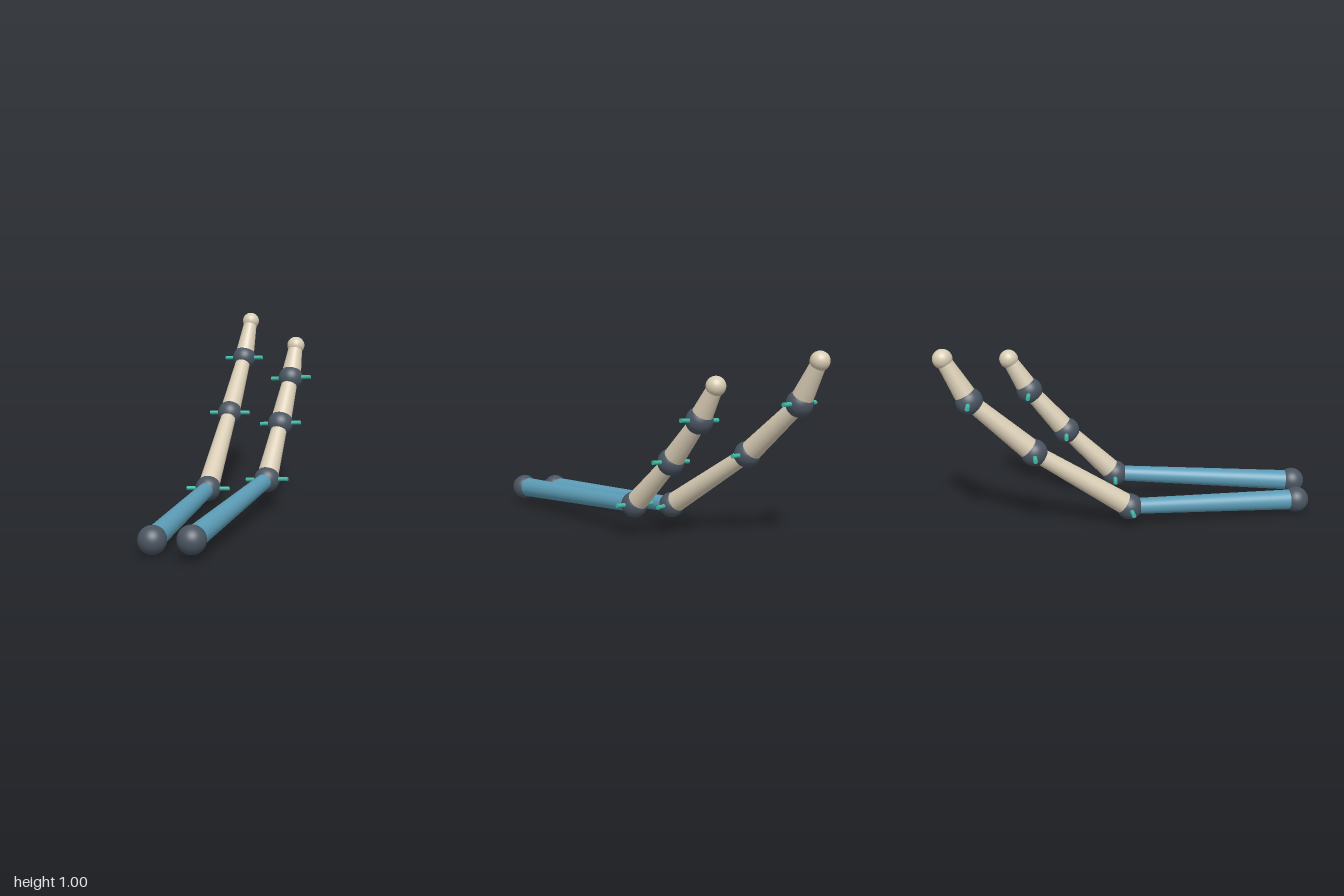
import * as THREE from 'three';

const mat = (name, color) => {
  const m = new THREE.MeshStandardMaterial({ color });
  m.name = name;
  return m;
};

export function createModel() {
  const bone = mat('bone cream', 0xd8ccb4);
  const slate = mat('joint slate', 0x4a5561);
  const blue = mat('base blue', 0x5b9bb5);
  const teal = mat('pin teal', 0x3fb8a5);
  const up = new THREE.Vector3(0, 1, 0);

  const add = (group, name, geometry, material, position) => {
    const mesh = new THREE.Mesh(geometry, material);
    mesh.name = name;
    mesh.position.copy(position);
    group.add(mesh);
    return mesh;
  };

  // Tapered rod running from a to b
  const rod = (group, name, a, b, r0, r1, material) => {
    const d = b.clone().sub(a);
    const mid = a.clone().lerp(b, 0.5);
    const mesh = add(group, name, new THREE.CylinderGeometry(r1, r0, d.length(), 40), material, mid);
    mesh.quaternion.setFromUnitVectors(up, d.normalize());
  };

  // Joint centres from base to tip, and hinge axes for the three inner joints
  const fingers = [
    {
      name: 'longFinger',
      joints: [[-0.31, 0.068, 0.855], [-0.161, 0.107, -0.05], [-0.09, 0.448, -0.536], [-0.032, 0.738, -0.84], [0, 0.953, -0.952]],
      axes: [[1, 0.04, 0.16], [1, 0.045, 0.22], [1, 0.045, 0.31]],
    },
    {
      name: 'shortFinger',
      joints: [[-0.119, 0.095, 0.933], [0.158, 0.17, -0.015], [0.216, 0.432, -0.268], [0.264, 0.663, -0.454], [0.288, 0.838, -0.554]],
      axes: [[1, 0.1, 0.32], [1, 0.1, 0.33], [1, 0.1, 0.37]],
    },
  ];
  const segments = [
    ['baseRod', 0.054, 0.041, blue],
    ['lowerBone', 0.057, 0.041, bone],
    ['middleBone', 0.057, 0.041, bone],
    ['tipBone', 0.057, 0.037, bone],
  ];

  const model = new THREE.Group();
  model.name = 'jointedFingers';
  for (const f of fingers) {
    const g = new THREE.Group();
    g.name = f.name;
    const p = f.joints.map((j) => new THREE.Vector3(...j));
    segments.forEach(([name, r0, r1, m], i) => rod(g, name, p[i], p[i + 1], r0, r1, m));
    // Ball joints, with a smaller ball at the tip
    p.forEach((c, i) => {
      const tip = i === 4;
      add(g, tip ? 'fingertip' : 'ballJoint', new THREE.SphereGeometry(tip ? 0.049 : 0.068, 40, 28), tip ? bone : slate, c);
    });
    // Hinge pins through the inner joints
    f.axes.forEach((a, i) => {
      const h = new THREE.Vector3(...a).normalize().multiplyScalar(0.118);
      rod(g, 'hingePin', p[i + 1].clone().sub(h), p[i + 1].clone().add(h), 0.011, 0.011, teal);
    });
    model.add(g);
  }
  return model;
}
